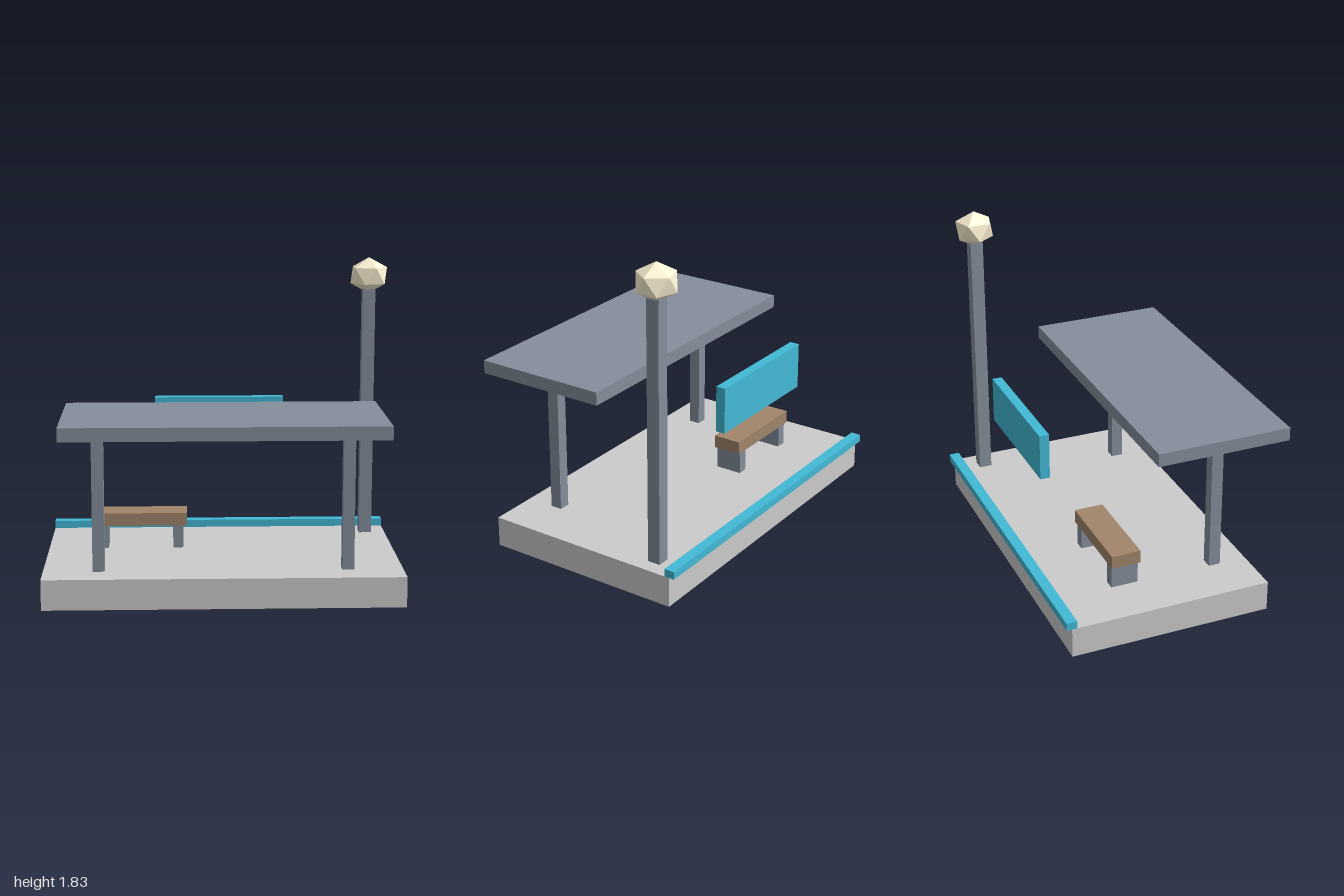
import * as THREE from 'three';

const material = (color) => new THREE.MeshStandardMaterial({ color, flatShading: true });

export function createModel() {
  const model = new THREE.Group();
  model.name = 'platformStop';

  const concrete = material(0xc4c4c8);
  const metal = material(0x848e9b);
  const cyan = material(0x42b9d6);
  const wood = material(0xa0856a);
  const glow = material(0xfff4d6);

  // Box given by its extents along each axis
  const box = (name, mat, [x0, x1], [y0, y1], [z0, z1], parent = model) => {
    const mesh = new THREE.Mesh(new THREE.BoxGeometry(x1 - x0, y1 - y0, z1 - z0), mat);
    mesh.position.set((x0 + x1) / 2, (y0 + y1) / 2, (z0 + z1) / 2);
    mesh.name = name;
    parent.add(mesh);
    return mesh;
  };

  const floor = 0.172;

  // Platform slab with a coloured strip overhanging its back edge
  box('platform', concrete, [-1, 1], [0, floor], [-0.637, 0.515]);
  box('edgeStrip', cyan, [-1, 1], [floor, 0.216], [-0.668, -0.608]);

  // Canopy on two posts
  box('canopyRoof', metal, [-0.885, 0.885], [0.965, 1.04], [-0.1, 0.667]);
  for (const [name, x] of [['leftCanopyPost', 0.692], ['rightCanopyPost', -0.692]]) {
    box(name, metal, [x - 0.033, x + 0.033], [floor, 0.965], [0.291, 0.358]);
  }

  // Hanging sign board
  box('signBoard', cyan, [-0.383, 0.383], [0.735, 0.997], [-0.57, -0.515]);

  // Bench
  const bench = new THREE.Group();
  bench.name = 'bench';
  model.add(bench);
  box('benchSeat', wood, [-0.735, -0.198], [0.305, 0.38], [-0.3, -0.132], bench);
  for (const [name, x] of [['leftBenchLeg', -0.249], ['rightBenchLeg', -0.684]]) {
    box(name, metal, [x - 0.03, x + 0.03], [floor, 0.305], [-0.294, -0.138], bench);
  }

  // Lamp: square post with a faceted, slightly flattened globe standing on a corner
  const lampX = 0.882, lampZ = -0.484;
  box('lampPost', metal, [lampX - 0.037, lampX + 0.037], [floor, 1.66],
    [lampZ - 0.037, lampZ + 0.037]);
  const globe = new THREE.IcosahedronGeometry(0.12, 0);
  globe.rotateZ(-Math.atan(2 / (1 + Math.sqrt(5))));
  globe.scale(1, 0.88, 1);
  const lamp = new THREE.Mesh(globe, glow);
  lamp.name = 'lampGlobe';
  lamp.position.set(lampX, 1.727, lampZ);
  model.add(lamp);

  return model;
}
